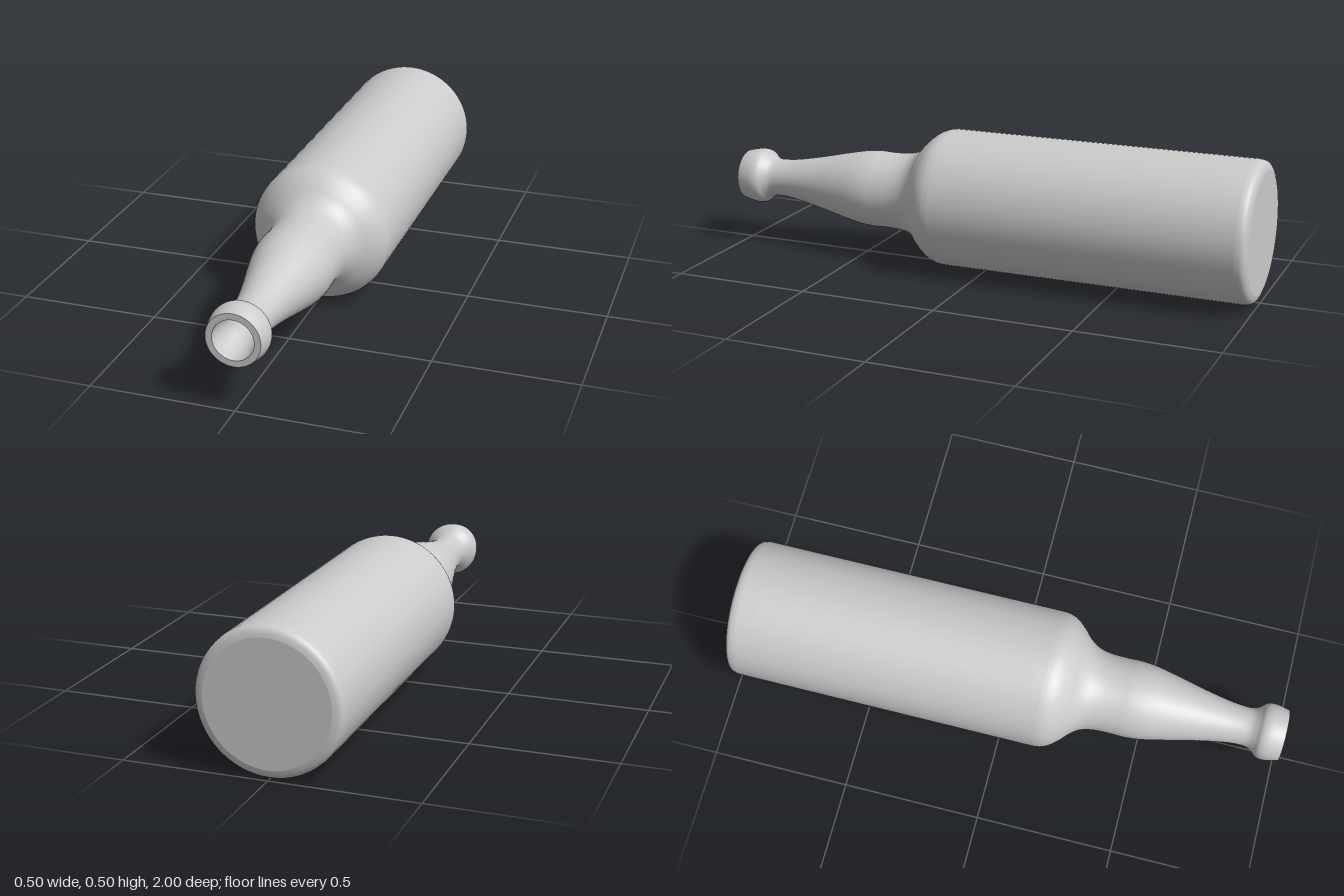
import * as THREE from 'three';

const SIDES = 64;
const AXIS_HEIGHT = 0.25;

const vectors = (pairs) => pairs.map(([r, z]) => new THREE.Vector2(r, z));
const smooth = (pairs, count) => new THREE.SplineCurve(vectors(pairs)).getPoints(count);

export function createModel() {
  const bottle = new THREE.Group();
  bottle.name = 'bottle';
  const material = new THREE.MeshStandardMaterial({ color: 0xcccccc });

  // Turns a (radius, z) profile about the lengthwise axis
  function turned(name, points) {
    const geometry = new THREE.LatheGeometry(points, SIDES);
    geometry.rotateX(Math.PI / 2);
    geometry.translate(0, AXIS_HEIGHT, 0);
    const mesh = new THREE.Mesh(geometry, material);
    mesh.name = name;
    bottle.add(mesh);
  }

  // Flat base
  turned('base', vectors([[0, -1], [0.215, -1]]));

  // Rounded heel, straight body, shoulder, bulged neck and lip
  const heel = smooth([[0.215, -1], [0.234, -0.994], [0.246, -0.982], [0.25, -0.96]], 10);
  const shoulderAndNeck = smooth([
    [0.25, 0.14], [0.246, 0.168], [0.232, 0.198], [0.205, 0.23], [0.174, 0.26],
    [0.152, 0.295], [0.142, 0.34], [0.14, 0.4], [0.141, 0.45], [0.135, 0.51],
    [0.118, 0.59], [0.097, 0.68], [0.079, 0.77], [0.071, 0.83], [0.071, 0.875],
    [0.083, 0.9], [0.098, 0.918], [0.103, 0.94], [0.1, 0.968], [0.092, 1],
  ], 100);
  turned('bodyAndNeck', [...heel, ...vectors([[0.25, -0.9], [0.25, 0.1]]), ...shoulderAndNeck]);

  // Flat ring around the mouth
  turned('rim', vectors([[0.092, 1], [0.07, 1]]));

  // Hollow inside, from the mouth down to the floor
  const bore = smooth([
    [0.07, 1], [0.068, 0.96], [0.058, 0.91], [0.05, 0.87], [0.051, 0.82], [0.06, 0.76],
    [0.078, 0.67], [0.1, 0.58], [0.119, 0.48], [0.121, 0.38], [0.126, 0.31],
    [0.155, 0.25], [0.205, 0.19], [0.23, 0.12],
  ], 60);
  turned('innerWall', [...bore, ...vectors([[0.23, 0.05], [0.23, -0.97]])]);
  turned('innerFloor', vectors([[0.23, -0.97], [0, -0.97]]));

  return bottle;
}
